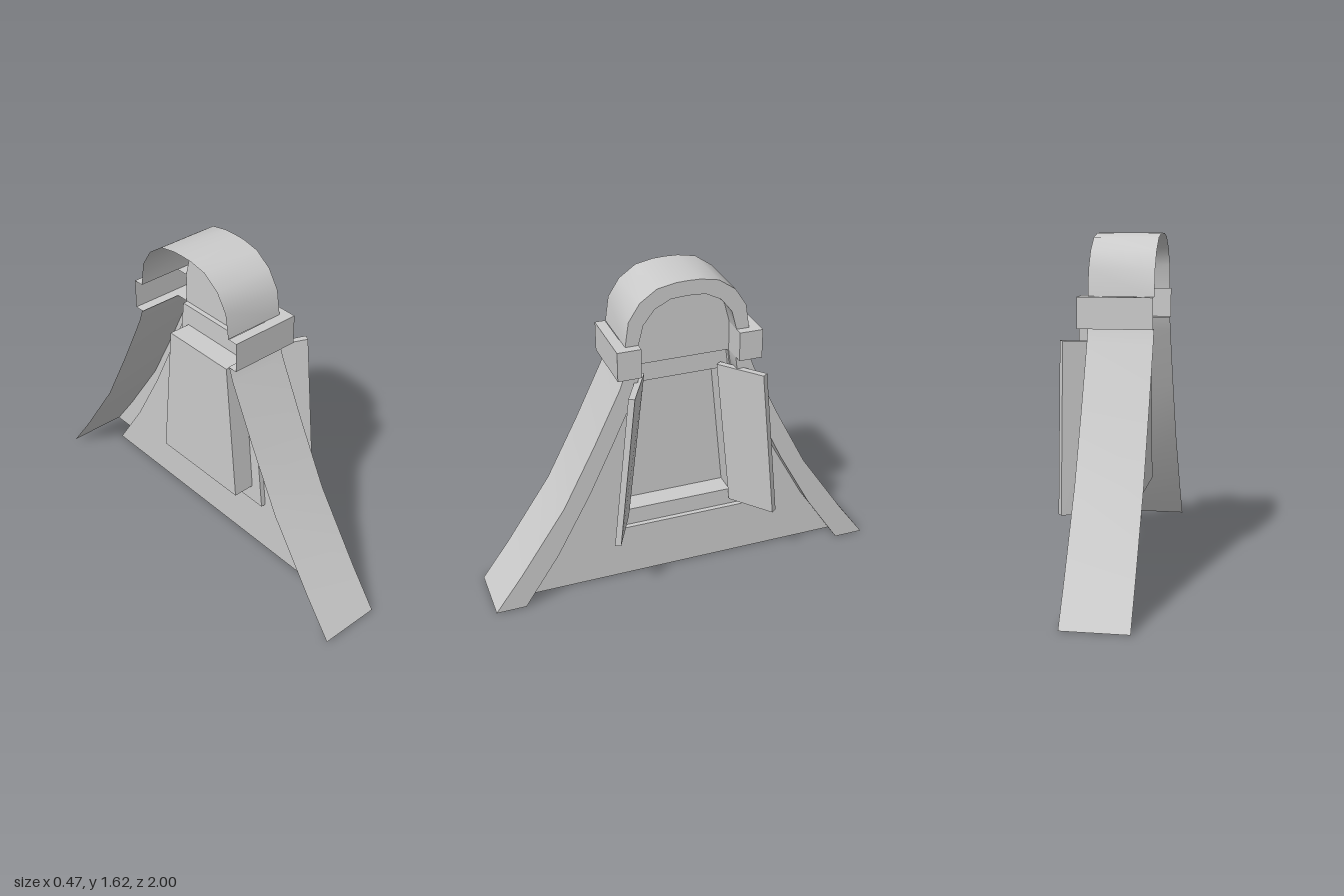
import * as THREE from 'three';

const FRONT = 0.07, WALL = -0.02, BACK = -0.235;
const mat = new THREE.MeshStandardMaterial({ color: 0xcccccc, side: THREE.DoubleSide });
const flatMat = new THREE.MeshStandardMaterial({ color: 0xcccccc, side: THREE.DoubleSide, flatShading: true });

// Sheet between two equal-length rows of [x, y, z] points
function sheet(a, b, material = mat) {
  const pos = [...a, ...b].flat(), idx = [], n = a.length;
  for (let i = 0; i < n - 1; i++) idx.push(i, i + 1, n + i, i + 1, n + i + 1, n + i);
  const g = new THREE.BufferGeometry();
  g.setAttribute('position', new THREE.Float32BufferAttribute(pos, 3));
  g.setIndex(idx);
  g.computeVertexNormals();
  return new THREE.Mesh(g, material);
}

// [z, y] profile placed at a given x
const at = (profile, x) => profile.map(([z, y]) => [x, y, z]);
const mirror = (half) => half.map(([z, y]) => [-z, y]).reverse();

// Flat panel facing +x from a [z, y] outline with an optional hole
function panel(outline, x, hole) {
  const pts = (o) => o.map(([z, y]) => new THREE.Vector2(-z, y));
  const shape = new THREE.Shape(pts(outline));
  if (hole) shape.holes.push(new THREE.Path(pts(hole)));
  const m = new THREE.Mesh(new THREE.ShapeGeometry(shape).rotateY(Math.PI / 2), mat);
  m.position.x = x;
  return m;
}

// Thin leaning board: top and bottom edges given as [x, y, z] end points
function board(topIn, topOut, botIn, botOut, thick) {
  const g = new THREE.BoxGeometry(1, 1, 1), p = g.attributes.position;
  const [ti, to, bi, bo] = [topIn, topOut, botIn, botOut].map((v) => new THREE.Vector3(...v));
  const dir = to.clone().sub(ti);
  const normal = new THREE.Vector3(-dir.z, 0, dir.x).normalize();
  if (normal.z * to.z < 0) normal.negate();
  const flip = to.z > 0 ? 1 : -1;
  for (let i = 0; i < p.count; i++) {
    const u = p.getX(i) + 0.5, v = p.getY(i) + 0.5, w = p.getZ(i) * flip + 0.5;
    const q = bi.clone().lerp(bo, u).lerp(ti.clone().lerp(to, u), v).addScaledVector(normal, w * thick);
    p.setXYZ(i, q.x, q.y, q.z);
  }
  g.computeVertexNormals();
  return new THREE.Mesh(g, mat);
}

// Capital, open at the back: wrapped band with top and bottom ledges
function capital(side) {
  const group = new THREE.Group(), tip = 0.113, low = 1.19, high = 1.335;
  const plan = (pts, y) => pts.map(([x, z]) => [x, y, z * side]);
  const band = [[WALL, 0.24], [tip, 0.24], [tip, 0.355], [BACK, 0.355]];
  group.add(sheet(plan(band, low), plan(band, high), flatMat));
  const inner = [[BACK, 0.305], [WALL, 0.305], [WALL, 0.24], [tip, 0.24]];
  const outer = inner.map(([x]) => [x, 0.355]);
  for (const y of [low, high]) group.add(sheet(plan(inner, y), plan(outer, y), flatMat));
  return group;
}

export function createModel() {
  const root = new THREE.Group();
  const add = (name, mesh) => { mesh.name = name; root.add(mesh); };

  // Matching outer and inner profiles of the flared legs and the arch
  const legOut = [[1, 0], [0.86, 0.19], [0.63, 0.53], [0.47, 0.84], [0.335, 1.12], [0.31, 1.19]];
  const legIn = [[0.85, 0], [0.67, 0.27], [0.5, 0.58], [0.38, 0.83], [0.25, 1.11], [0.24, 1.19]];
  const archOutHalf = [[0.303, 1.335], [0.285, 1.455], [0.23, 1.54], [0.148, 1.597], [0.06, 1.614]];
  const archInHalf = [[0.24, 1.335], [0.215, 1.43], [0.16, 1.5], [0.085, 1.538], [0.035, 1.542]];
  const archOut = [...archOutHalf, [0, 1.616], ...mirror(archOutHalf)];
  const archIn = [...archInHalf, [0, 1.543], ...mirror(archInHalf)];

  // Each run has an outer skin, a front rim and an inner reveal back to the wall
  const runs = [
    ['leftLeg', legOut, legIn],
    ['rightLeg', mirror(legOut), mirror(legIn)],
    ['arch', archOut, archIn],
  ];
  for (const [name, outer, inner] of runs) {
    add(name + 'Skin', sheet(at(outer, BACK), at(outer, FRONT)));
    add(name + 'Rim', sheet(at(outer, FRONT), at(inner, FRONT)));
    add(name + 'Reveal', sheet(at(inner, FRONT), at(inner, WALL)));
  }

  // Wall with a tapered opening
  const opening = [[0.34, 0.28], [0.235, 1.19], [-0.235, 1.19], [-0.34, 0.28]];
  const niche = [[0.27, 0.37], [0.2, 1.085], [-0.2, 1.085], [-0.27, 0.37]];
  const wall = [...legIn, ...archIn, ...mirror(legIn)];
  add('wall', panel(wall, WALL, opening));

  // Stepped niche behind the opening
  const close = (o) => [...o, o[0]];
  const STEP = -0.045, DEEP = -0.155;
  const rings = [[opening, WALL], [opening, STEP], [niche, STEP], [niche, DEEP]];
  for (let i = 0; i < rings.length - 1; i++) {
    const [[a, xa], [b, xb]] = [rings[i], rings[i + 1]];
    add('nicheStep', sheet(at(close(a), xa), at(close(b), xb), flatMat));
  }
  add('nicheBack', panel(niche, DEEP));

  // Capitals between the legs and the arch
  add('leftCapital', capital(1));
  add('rightCapital', capital(-1));

  // Open shutters, swung to slightly different angles
  add('leftShutter', board([-0.02, 1.14, 0.185], [0.235, 1.155, 0.315],
    [-0.02, 0.35, 0.28], [0.23, 0.365, 0.4], 0.03));
  add('rightShutter', board([-0.02, 1.12, -0.18], [0.195, 1.135, -0.33],
    [-0.02, 0.325, -0.26], [0.19, 0.34, -0.41], 0.032));

  return root;
}
